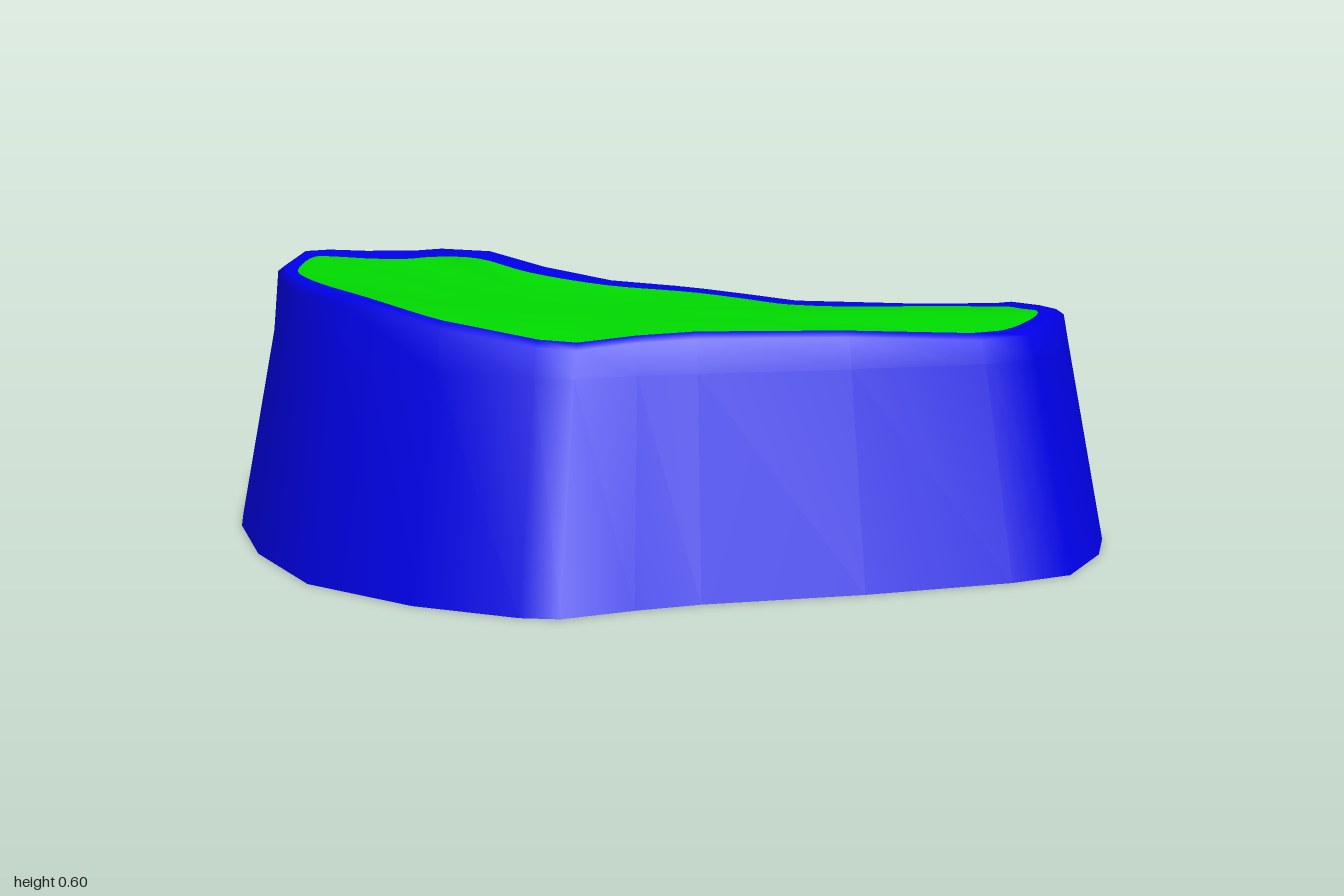
import * as THREE from 'three';

// Foot outline (x, z), clockwise from the back right-hand corner
const FOOT = [
  -0.68, -0.86, -0.62, -0.84, -0.46, -0.705, -0.29, -0.56, -0.11, -0.45, 0.03, -0.47,
  0.13, -0.42, 0.27, -0.30, 0.38, -0.15, 0.62, -0.165, 0.83, -0.235, 0.915, -0.23,
  0.98, -0.02, 1.0, 0.14, 0.965, 0.29, 0.87, 0.48, 0.74, 0.55, 0.43, 0.655,
  0.10, 0.74, -0.03, 0.79, -0.17, 0.857, -0.25, 0.85, -0.47, 0.765, -0.71, 0.595,
  -0.87, 0.33, -0.97, 0.05, -1.0, -0.10, -1.0, -0.47, -0.965, -0.67, -0.87, -0.79,
];

// Top rim (x, y, z), point for point above the foot
const RIM = [
  -0.64, 0.585, -0.62, -0.57, 0.592, -0.60, -0.43, 0.595, -0.49, -0.28, 0.568, -0.36,
  -0.12, 0.545, -0.26, 0.03, 0.53, -0.28, 0.11, 0.525, -0.25, 0.22, 0.52, -0.17,
  0.32, 0.515, -0.09, 0.58, 0.508, -0.10, 0.79, 0.505, -0.14, 0.83, 0.51, -0.13,
  0.885, 0.515, 0.0, 0.90, 0.52, 0.13, 0.87, 0.515, 0.24, 0.79, 0.503, 0.37,
  0.68, 0.50, 0.43, 0.40, 0.515, 0.51, 0.09, 0.52, 0.58, -0.03, 0.515, 0.61,
  -0.15, 0.505, 0.65, -0.23, 0.51, 0.645, -0.43, 0.54, 0.58, -0.65, 0.575, 0.45,
  -0.79, 0.582, 0.25, -0.87, 0.586, 0.02, -0.90, 0.59, -0.10, -0.90, 0.603, -0.38,
  -0.86, 0.597, -0.50, -0.78, 0.587, -0.58,
];

// Edge of the green surface (x, z), point for point inside the rim
const EDGE = [
  -0.66, -0.51, -0.59, -0.48, -0.46, -0.37, -0.32, -0.25, -0.13, -0.155, 0.03, -0.185,
  0.10, -0.165, 0.20, -0.09, 0.30, -0.02, 0.56, -0.03, 0.75, -0.055, 0.79, -0.04,
  0.82, 0.05, 0.84, 0.14, 0.82, 0.21, 0.74, 0.31, 0.63, 0.35, 0.36, 0.44,
  0.08, 0.49, -0.04, 0.515, -0.15, 0.545, -0.22, 0.54, -0.42, 0.475, -0.62, 0.34,
  -0.74, 0.19, -0.83, 0.0, -0.85, -0.10, -0.85, -0.30, -0.82, -0.40, -0.74, -0.485,
];

const COUNT = FOOT.length / 2;
const FINE = COUNT * 4;
const ring = (fn, count = COUNT) => Array.from({ length: count }, (_, i) => fn(i));

// Resamples a closed ring, straight between its points or along a smooth curve
function refine(points, smooth) {
  const curve = new THREE.CatmullRomCurve3(points, true);
  return ring((i) => {
    if (smooth) return curve.getPoint(i / FINE);
    const k = Math.floor(i / 4);
    return points[k].clone().lerp(points[(k + 1) % COUNT], (i % 4) / 4);
  }, FINE);
}

// Skins a stack of closed rings with smooth normals
function loft(rings) {
  const count = rings[0].length;
  const index = [];
  for (let r = 0; r < rings.length - 1; r++) {
    for (let i = 0; i < count; i++) {
      const j = (i + 1) % count;
      const a = r * count, b = a + count;
      index.push(a + i, b + i, b + j, a + i, b + j, a + j);
    }
  }
  const geometry = new THREE.BufferGeometry().setFromPoints(rings.flat());
  geometry.setIndex(index);
  geometry.computeVertexNormals();
  return geometry;
}

export function createModel() {
  const blue = new THREE.MeshStandardMaterial({ name: 'blue', color: 0x0000e8, side: THREE.DoubleSide });
  const green = new THREE.MeshStandardMaterial({ name: 'green', color: 0x00d800, side: THREE.DoubleSide });

  const foot = ring((i) => new THREE.Vector3(FOOT[2 * i], 0, FOOT[2 * i + 1]));
  const rim = ring((i) => new THREE.Vector3(RIM[3 * i], RIM[3 * i + 1], RIM[3 * i + 2]));
  const edge = ring((i) => {
    const z = EDGE[2 * i + 1];
    const drop = 0.004 + 0.03 * Math.max(0, Math.abs(z) - 0.15);
    return new THREE.Vector3(EDGE[2 * i], rim[i].y - drop, z);
  });

  // Straight sloping wall, steeper above the shoulder, open underneath
  const shoulder = ring((i) => foot[i].clone().lerp(rim[i], 0.87).setY(0.44));
  const brow = ring((i) => rim[i].clone().setY(rim[i].y - 0.012));
  const crest = ring((i) => rim[i].clone().lerp(edge[i], 0.3).setY(rim[i].y));
  const wall = new THREE.Mesh(loft([foot, shoulder, brow, crest]), blue);
  wall.name = 'wall';

  // Nearly level lip from the crest to the curved edge of the green surface
  const curvedEdge = refine(edge, true);
  const lip = new THREE.Mesh(loft([refine(crest, false), curvedEdge]), blue);
  lip.name = 'lip';

  // Gently undulating top that eases from its edge to a level middle
  const centre = new THREE.Vector3(-0.15, 0.52, 0.19);
  const steps = 12;
  const layers = [];
  for (let s = 0; s <= steps; s++) {
    const t = s / steps;
    const ease = 1 - (1 - t) ** 2;
    layers.push(curvedEdge.map((e) => e.clone().lerp(centre, t)
      .setY(THREE.MathUtils.lerp(e.y, centre.y, ease))));
  }
  const top = new THREE.Mesh(loft(layers), green);
  top.name = 'top';

  const model = new THREE.Group();
  model.name = 'mound';
  model.add(wall, lip, top);
  return model;
}
